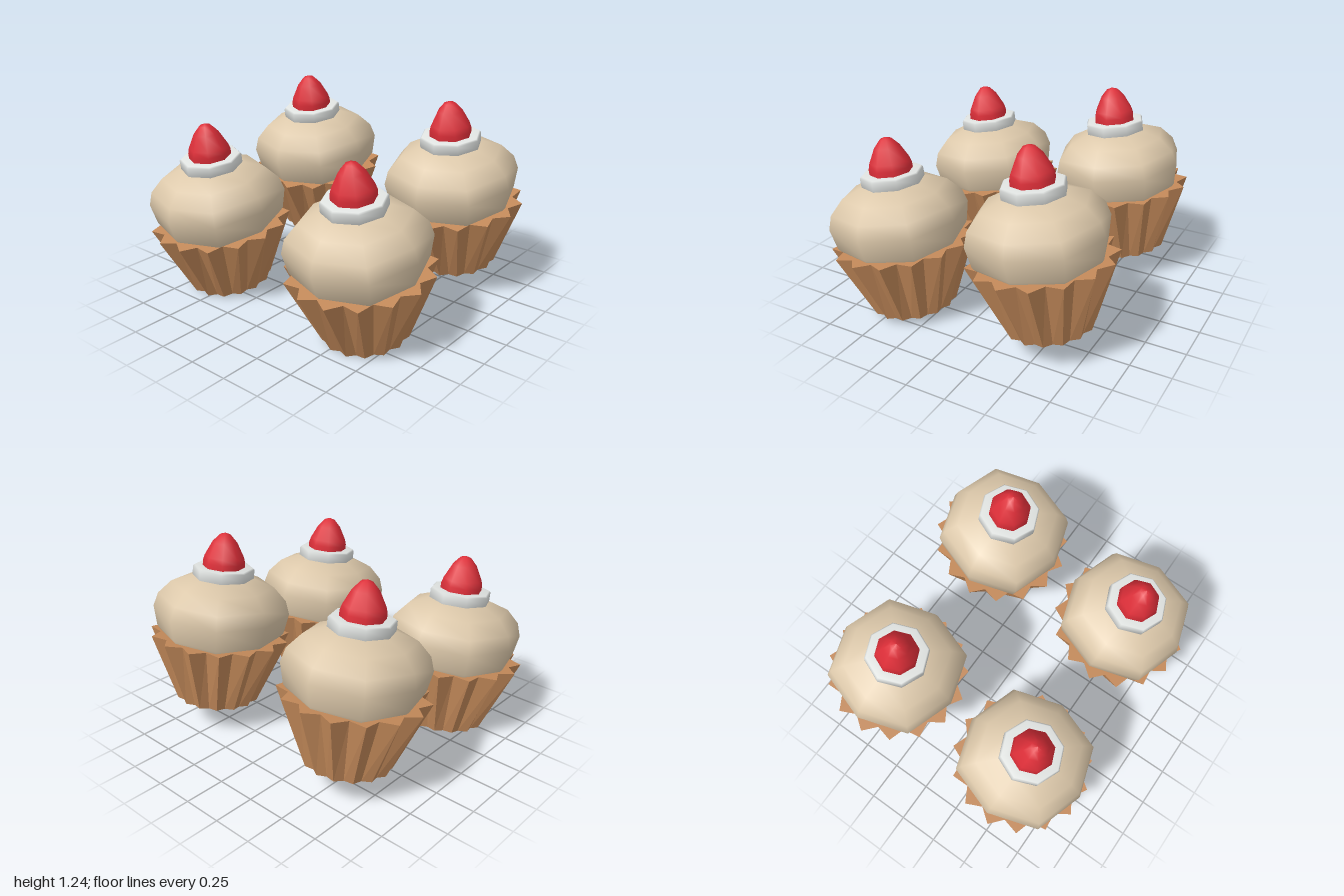
import * as THREE from 'three';

const material = (name, color) => {
  const m = new THREE.MeshStandardMaterial({ color });
  m.name = name;
  return m;
};

// Smooth eight-sided turned shape from [radius, height] pairs
function turned(profile) {
  return new THREE.LatheGeometry(profile.map(([r, y]) => new THREE.Vector2(r, y)), 8);
}

// Pleated paper cup: every other corner pushed out, flat facets
function pleatedCup() {
  const pleats = 15, height = 0.431;
  const g = new THREE.CylinderGeometry(1, 1, height, pleats * 2, 1);
  g.translate(0, height / 2, 0);
  const p = g.attributes.position;
  for (let i = 0; i < p.count; i++) {
    const x = p.getX(i), z = p.getZ(i);
    if (Math.hypot(x, z) < 0.5) continue;
    const step = Math.round((Math.atan2(x, z) / Math.PI) * pleats);
    const tip = Math.abs(step) % 2 === 1;
    const top = p.getY(i) > height / 2;
    const r = top ? (tip ? 0.44 : 0.375) : (tip ? 0.262 : 0.235);
    p.setX(i, x * r);
    p.setZ(i, z * r);
  }
  const flat = g.toNonIndexed();
  flat.computeVertexNormals();
  return flat;
}

// Frosting dome, slightly squared by widening its diagonals
function frostingDome() {
  const g = turned([[0.33, 0.39], [0.375, 0.45], [0.4, 0.58], [0.375, 0.667], [0.3, 0.752], [0.17, 0.805], [0, 0.82]]);
  const p = g.attributes.position;
  for (let i = 0; i < p.count; i++) {
    const x = p.getX(i), z = p.getZ(i);
    const s = 1 + 0.065 * Math.abs(Math.sin(2 * Math.atan2(x, z)));
    p.setX(i, x * s);
    p.setZ(i, z * s);
  }
  // Smooth normals, keeping the seam matched
  const n = g.attributes.normal;
  const seam = 8 * 7;
  g.computeVertexNormals();
  for (let j = 0; j < 7; j++) {
    const a = new THREE.Vector3().fromBufferAttribute(n, j);
    a.add(new THREE.Vector3().fromBufferAttribute(n, seam + j)).normalize();
    n.setXYZ(j, a.x, a.y, a.z);
    n.setXYZ(seam + j, a.x, a.y, a.z);
  }
  return g;
}

export function createModel() {
  const parts = [
    ['paperCup', pleatedCup(), material('paper brown', 0xc48a5a)],
    ['frosting', frostingDome(), material('frosting cream', 0xdcc8aa)],
    ['creamRing', turned([[0.17, 0.795], [0.19, 0.802], [0.19, 0.858], [0.18, 0.868], [0.12, 0.868]]), material('cream white', 0xe0e3e1)],
    ['berry', turned([[0.13, 0.85], [0.13, 0.9], [0.12, 0.935], [0.076, 1.022], [0.035, 1.068], [0, 1.08]]), material('berry red', 0xdc2e38)],
  ];

  const model = new THREE.Group();
  model.name = 'cupcakes';
  // Two rows of two, all tipped toward the front
  const rows = [['front', 0.42, 0.04], ['back', -0.53, 0.174]];
  for (const [row, z, y] of rows) {
    for (const side of [-1, 1]) {
      const cake = new THREE.Group();
      cake.name = row + (side > 0 ? 'Left' : 'Right') + 'Cupcake';
      for (const [name, geometry, mat] of parts) {
        const mesh = new THREE.Mesh(geometry, mat);
        mesh.name = name;
        cake.add(mesh);
      }
      cake.position.set(side * 0.564, y, z);
      cake.rotation.x = THREE.MathUtils.degToRad(8);
      model.add(cake);
    }
  }
  return model;
}
